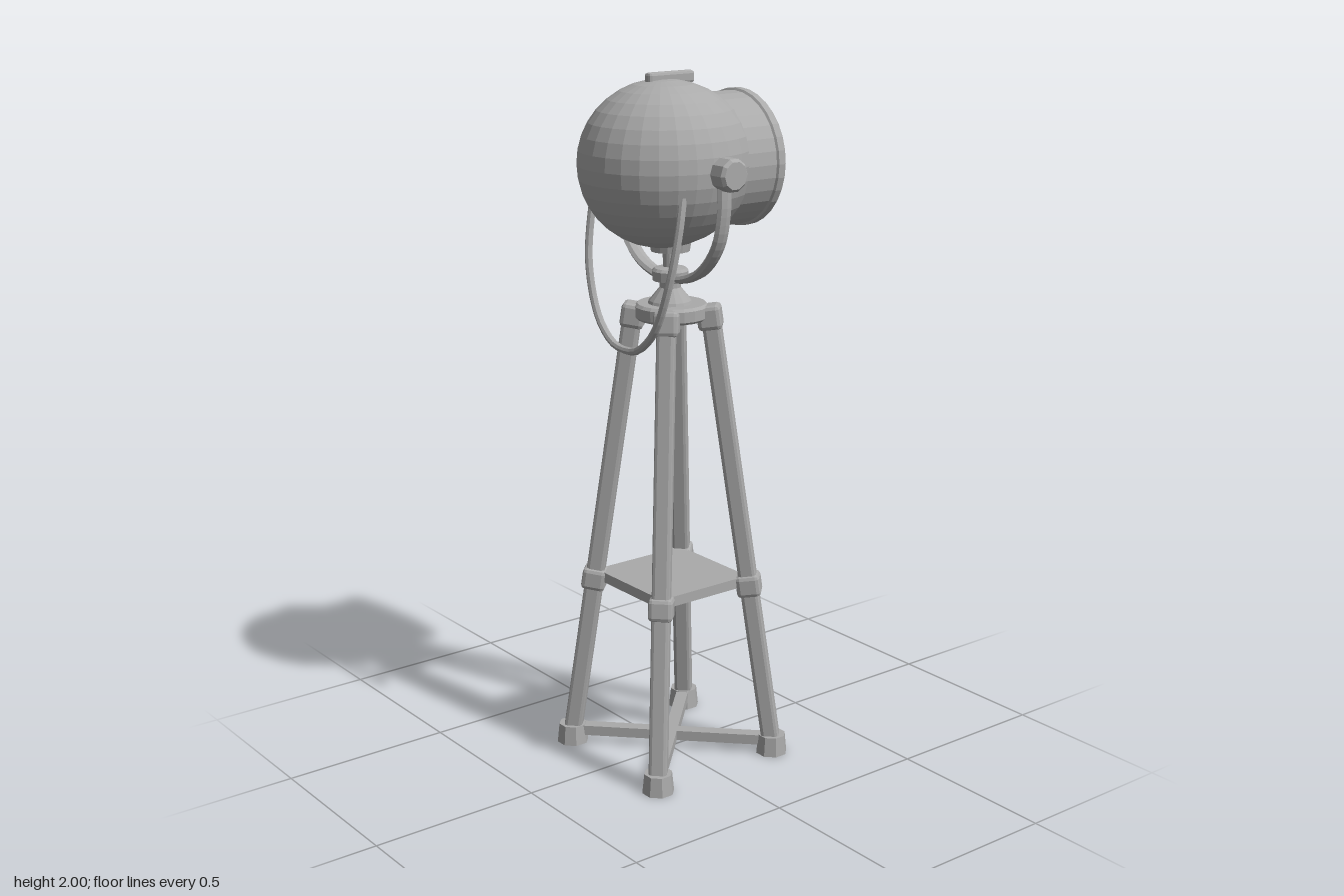
import * as THREE from 'three';
import { RoundedBoxGeometry } from 'three/addons/geometries/RoundedBoxGeometry.js';

export function createModel() {
  const model = new THREE.Group();
  const grey = new THREE.MeshStandardMaterial({ color: 0xaaaaaa });
  grey.name = 'grey metal';
  grey.flatShading = true;
  const v2 = (a) => a.map(([x, y]) => new THREE.Vector2(x, y));
  const v3 = (a) => a.map((p) => new THREE.Vector3(...p));

  const add = (name, geometry, x = 0, y = 0, z = 0, parent = model) => {
    const mesh = new THREE.Mesh(geometry, grey);
    mesh.name = name;
    mesh.position.set(x, y, z);
    parent.add(mesh);
    return mesh;
  };
  // Box with chamfered edges
  const block = (w, h, d, r) => new RoundedBoxGeometry(w, h, d, 1, r);
  // Tube through one half of a path, mirrored in x; last point lies on x = 0
  const archTube = (half, radius) => {
    const other = half.slice(0, -1).reverse().map(([x, y, z]) => [-x, y, z]);
    const curve = new THREE.CatmullRomCurve3(v3([...half, ...other]));
    return new THREE.TubeGeometry(curve, 40, radius, 8, false);
  };

  // Lamp housing: ball stretched towards the back
  const ball = new THREE.SphereGeometry(0.23, 28, 18);
  const pos = ball.attributes.position;
  for (let i = 0; i < pos.count; i++) {
    const z = pos.getZ(i);
    pos.setZ(i, z * (z < 0 ? 1.18 : 1.022));
  }
  ball.computeVertexNormals();
  add('lampHousing', ball, 0, 1.752, 0.03);

  // Barrel with raised rim and flat lens, turned along -z
  const barrel = new THREE.LatheGeometry(v2([
    [0.187, 0.09], [0.187, 0.225], [0.193, 0.229], [0.193, 0.25],
    [0.188, 0.256], [0.177, 0.256], [0.174, 0.251], [0, 0.251],
  ]), 32);
  add('lampBarrel', barrel, 0, 1.748, 0).rotation.x = -Math.PI / 2;

  // Fin on top of the housing
  add('topFin', block(0.028, 0.035, 0.155, 0.008), 0, 1.9825, 0.002);

  // Pivot knobs on both sides
  for (const s of [-1, 1]) {
    const knob = add(s > 0 ? 'leftKnob' : 'rightKnob', new THREE.LatheGeometry(v2([
      [0.036, 0], [0.046, 0.015], [0.046, 0.058], [0.038, 0.067], [0, 0.067],
    ]), 10), s * 0.217, 1.749, 0);
    knob.rotation.z = -s * Math.PI / 2;
  }

  // Yoke carrying the housing
  const yoke = archTube([
    [0.236, 1.75, 0], [0.234, 1.64, 0], [0.208, 1.545, 0], [0.13, 1.462, 0], [0, 1.43, 0],
  ], 0.013);
  yoke.scale(1, 1, 1.8);
  yoke.computeVertexNormals();
  add('yoke', yoke);

  // Hanging bail at the front
  add('frontBail', archTube([
    [0.195, 1.69, 0.108], [0.2, 1.6, 0.125], [0.185, 1.46, 0.146],
    [0.13, 1.32, 0.155], [0.06, 1.257, 0.157], [0, 1.246, 0.157],
  ], 0.011));

  // Turned pivot post from tripod head up to the housing
  add('pivotPost', new THREE.LatheGeometry(v2([
    [0, 1.285], [0.032, 1.285], [0.036, 1.3], [0.036, 1.33], [0.065, 1.355],
    [0.06, 1.368], [0.03, 1.405], [0.03, 1.42], [0.05, 1.425], [0.052, 1.452],
    [0.045, 1.46], [0.021, 1.464], [0.021, 1.505], [0.055, 1.508], [0.06, 1.54], [0, 1.55],
  ]), 16));

  // Tripod head
  const tripod = new THREE.Group();
  tripod.name = 'tripod';
  tripod.position.z = -0.005;
  model.add(tripod);
  add('headPlate', new THREE.LatheGeometry(v2([
    [0, 1.315], [0.098, 1.315], [0.105, 1.322], [0.105, 1.352], [0.097, 1.36], [0, 1.36],
  ]), 20), 0, 0, 0, tripod);

  // Four legs, each built in the x-y plane and turned to its corner
  const radiusAt = (y) => 0.304 - 0.146 * y;
  const tilt = Math.atan(0.146);
  for (let i = 0; i < 4; i++) {
    const leg = new THREE.Group();
    leg.name = 'leg' + (i + 1);
    leg.rotation.y = Math.PI / 4 + (i * Math.PI) / 2;
    tripod.add(leg);
    const part = (name, geometry, y) => {
      add(name, geometry, radiusAt(y), y, 0, leg).rotation.z = tilt;
    };
    part('legPost', block(0.052, 1.3, 0.052, 0.01), 0.68);
    part('legCollar', block(0.07, 0.066, 0.07, 0.012), 0.528);
    add('legSocket', block(0.068, 0.07, 0.07, 0.012), 0.108, 1.322, 0, leg).rotation.z = tilt;
    // Tapered foot with a flat sole
    const foot = new THREE.CylinderGeometry(0.041, 0.047, 0.058, 8);
    foot.rotateY(Math.PI / 8);
    add('foot', foot, 0.3, 0.029, 0, leg);
  }

  // Square shelf between the collars
  add('shelf', new THREE.BoxGeometry(0.315, 0.03, 0.315), 0, 0.538, 0, tripod);

  // Crossed bars between opposite feet
  for (const s of [-1, 1]) {
    const bar = add('crossBar', new THREE.BoxGeometry(0.59, 0.03, 0.036), 0, 0.041, 0, tripod);
    bar.rotation.y = (s * Math.PI) / 4;
  }

  return model;
}
